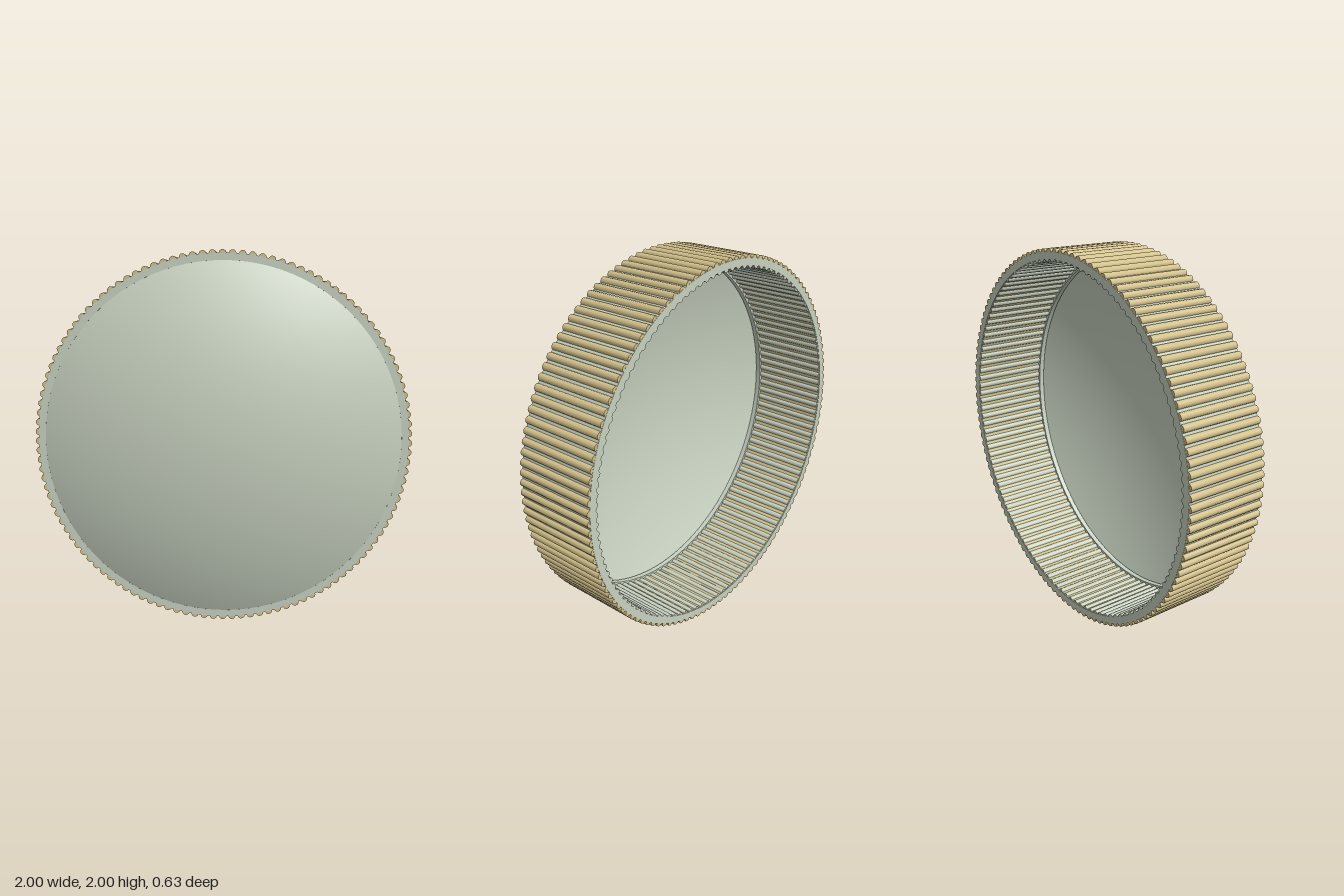
import * as THREE from 'three';
import { toCreasedNormals } from 'three/addons/utils/BufferGeometryUtils.js';

const BACK = -0.315, FRONT = 0.135, RIBS = 120;

export function createModel() {
  const model = new THREE.Group();
  const sage = new THREE.MeshStandardMaterial({ color: 0xc8d2c1, side: THREE.DoubleSide });
  sage.name = 'pale sage';
  const gold = new THREE.MeshStandardMaterial({ color: 0xd4c28c, side: THREE.DoubleSide });
  gold.name = 'soft gold';

  // everything turns about the z axis, at height 1
  const add = (name, geometry, material) => {
    const mesh = new THREE.Mesh(geometry, material);
    mesh.name = name;
    mesh.position.y = 1;
    model.add(mesh);
    return mesh;
  };

  // closed ring of rectangular section
  const ring = (r0, r1, z0, z1) => {
    const section = [[r0, z0], [r1, z0], [r1, z1], [r0, z1], [r0, z0]];
    const g = new THREE.LatheGeometry(section.map(p => new THREE.Vector2(...p)), RIBS);
    return toCreasedNormals(g.rotateX(Math.PI / 2), 0.6);
  };

  add('bandWall', ring(0.945, 0.983, BACK, FRONT), sage);
  add('bandLining', ring(0.943, 0.946, BACK + 0.004, FRONT - 0.03), gold);
  add('domeSeat', ring(0.925, 0.95, FRONT - 0.03, FRONT - 0.002), sage);

  // fluting: gold ribs outside, pale ribs inside
  const addRibs = (name, radius, size, offset, inset, material) => {
    const rib = new THREE.CylinderGeometry(size, size, FRONT - BACK - 2 * inset, 10);
    rib.rotateX(Math.PI / 2);
    const ribs = new THREE.Group();
    ribs.name = name;
    ribs.position.set(0, 1, (FRONT + BACK) / 2);
    for (let i = 0; i < RIBS; i++) {
      const a = (i + offset) / RIBS * Math.PI * 2;
      const mesh = new THREE.Mesh(rib, material);
      mesh.name = name + i;
      mesh.position.set(Math.cos(a) * radius, Math.sin(a) * radius, 0);
      mesh.rotation.z = a;
      ribs.add(mesh);
    }
    model.add(ribs);
  };
  addRibs('outerRib', 0.98, 0.02, 0, 0.001, gold);
  addRibs('innerRib', 0.95, 0.018, 0.5, 0.002, sage);

  // shallow domed front, hollow behind
  const rim = 0.945, rise = 0.18;
  const R = (rim * rim + rise * rise) / (2 * rise);
  const cap = new THREE.SphereGeometry(R, 96, 20, 0, Math.PI * 2, 0, Math.asin(rim / R));
  cap.rotateX(Math.PI / 2);
  add('domedFront', cap, sage).position.z = 0.315 - R;

  return model;
}
